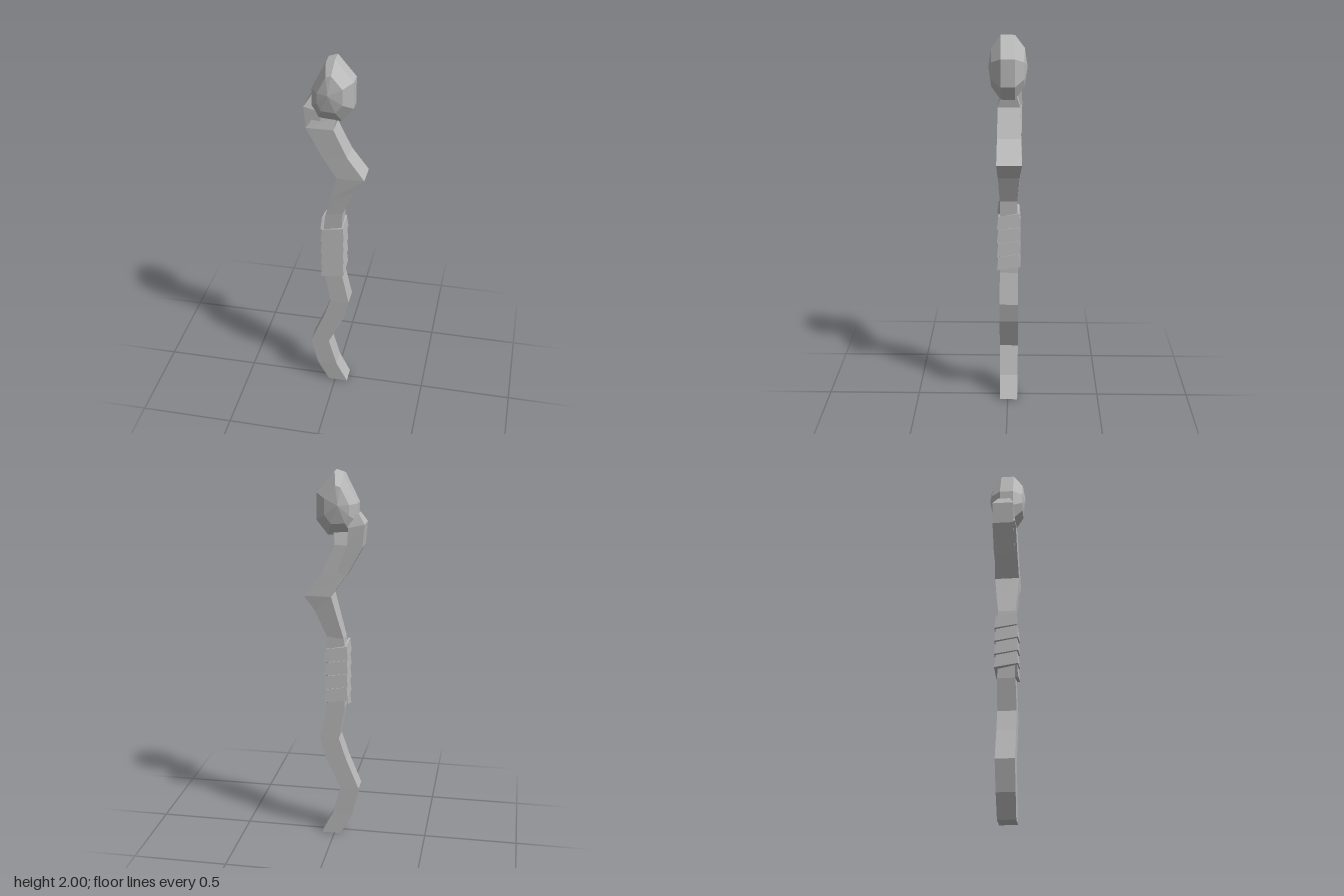
import * as THREE from 'three';

// Skins a list of equal-length rings (counter-clockwise seen from ahead) and caps both ends.
function loft(rings) {
  const pos = [];
  const tri = (a, b, c) => pos.push(...a, ...b, ...c);
  const n = rings[0].length;
  for (let i = 0; i < rings.length - 1; i++) {
    const lo = rings[i], hi = rings[i + 1];
    for (let j = 0; j < n; j++) {
      const k = (j + 1) % n;
      tri(lo[j], lo[k], hi[k]);
      tri(lo[j], hi[k], hi[j]);
    }
  }
  const first = rings[0], last = rings[rings.length - 1];
  for (let j = 1; j < n - 1; j++) {
    tri(first[0], first[j + 1], first[j]);
    tri(last[0], last[j], last[j + 1]);
  }
  const geo = new THREE.BufferGeometry();
  geo.setAttribute('position', new THREE.Float32BufferAttribute(pos, 3));
  geo.computeVertexNormals();
  return geo;
}

// Four-cornered section: left x, y; right x, y; front z, back z.
const section = ([lx, ly, rx, ry, zf, zb]) =>
  [[lx, ly, zf], [rx, ry, zf], [rx, ry, zb], [lx, ly, zb]];

export function createModel() {
  const group = new THREE.Group();
  const grey = new THREE.MeshStandardMaterial({ color: 0xb8b8b8, flatShading: true });
  grey.name = 'weathered grey';
  const add = (name, geo) => {
    const mesh = new THREE.Mesh(geo, grey);
    mesh.name = name;
    group.add(mesh);
  };

  // Crooked square shaft
  add('shaft', loft([
    [-0.035, 0, 0.07, 0, 0.042, -0.053],
    [-0.1, 0.12, 0.01, 0.12, 0.045, -0.053],
    [-0.135, 0.28, -0.035, 0.28, 0.045, -0.055],
    [-0.065, 0.45, 0.05, 0.46, 0.045, -0.055],
    [-0.025, 0.57, 0.077, 0.57, 0.045, -0.055],
    [-0.055, 0.74, 0.04, 0.74, 0.042, -0.053],
    [-0.06, 1.04, 0.036, 1.05, 0.042, -0.05],
    [-0.05, 1.13, 0.04, 1.14, 0.042, -0.05],
    [-0.022, 1.23, 0.1, 1.28, 0.05, -0.062],
    [0.013, 1.36, 0.155, 1.36, 0.057, -0.074],
    [-0.06, 1.47, 0.066, 1.48, 0.055, -0.07],
    [-0.146, 1.63, -0.005, 1.63, 0.053, -0.064],
    [-0.1, 1.7, 0.004, 1.69, 0.035, -0.045],
  ].map(section)));

  // Side prong that hooks up behind the head
  add('prong', loft([
    [-0.066, 1.47, -0.02, 1.49, 0.04, -0.073],
    [-0.148, 1.62, -0.07, 1.63, 0.042, -0.073],
    [-0.159, 1.74, -0.075, 1.72, 0.042, -0.072],
    [-0.125, 1.79, -0.08, 1.78, 0.02, -0.05],
  ].map(section)));

  // Binding strip: four square spiral turns, each flaring at its lower edge
  const corners = [[-1, 1], [1, 1], [1, -1], [-1, -1]];
  const cx = -0.012, cz = -0.005, turns = 4, pitch = 0.075;
  const strip = [];
  for (let i = 0; i <= turns * 4; i++) {
    const [sx, sz] = corners[i % 4];
    const y = 0.735 + (pitch * i) / 4;
    const at = (r, dy) => [cx + sx * r, y + dy, cz + sz * r];
    strip.push([at(0.063, 0.004), at(0.046, 0), at(0.046, pitch), at(0.056, pitch)]);
  }
  add('binding', loft(strip));

  // Faceted head: one outline, stepped inwards towards both faces
  const outline = [[0.093, 1.75], [0.093, 1.89], [0, 2], [-0.045, 1.985],
    [-0.118, 1.84], [-0.118, 1.75], [-0.085, 1.685], [0.035, 1.677]];
  const steps = [[-0.1, 0.02], [-0.085, 0.6], [-0.036, 1], [0.036, 1], [0.085, 0.6], [0.1, 0.02]];
  const mx = -0.025, my = 1.835;
  add('head', loft(steps.map(([z, s]) =>
    outline.map(([x, y]) => [mx + (x - mx) * s, my + (y - my) * s, z]))));

  return group;
}
